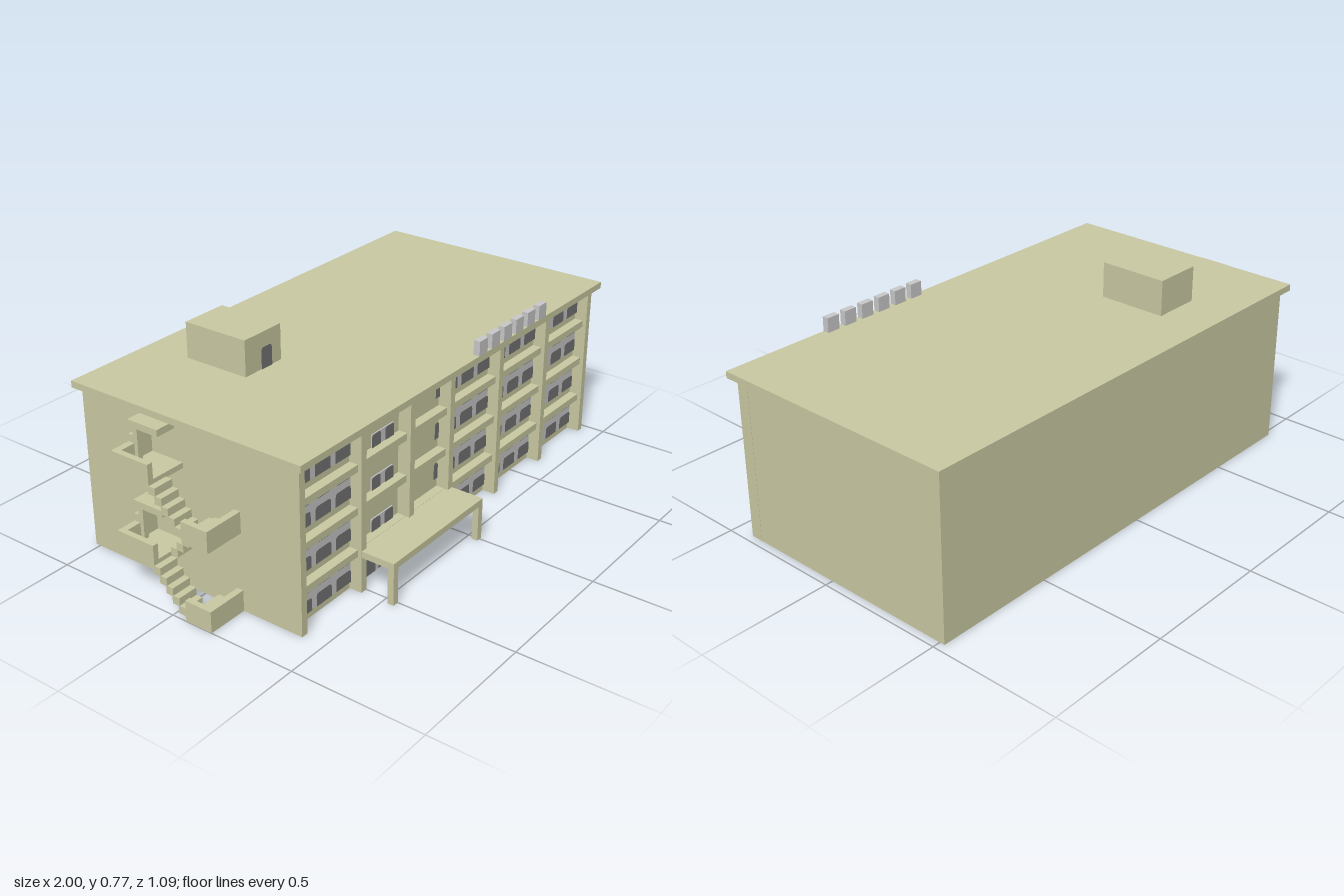
import * as THREE from 'three';

const mat = (name, color) => {
  const m = new THREE.MeshStandardMaterial({ color });
  m.name = name;
  return m;
};

const FACADE = 0.365; // z of the recessed wall
const FRONT = 0.415; // z of the column faces

export function createModel() {
  const olive = mat('olive plaster', 0xcacaa3);
  const grey = mat('light grey', 0xc9c9c9);
  const dark = mat('dark glass', 0x737373);
  const model = new THREE.Group();
  model.name = 'building';

  const group = (name) => {
    const g = new THREE.Group();
    g.name = name;
    model.add(g);
    return g;
  };

  // Box given by its lower and upper limits on each axis
  const box = (parent, name, material, x0, x1, y0, y1, z0, z1) => {
    const mesh = new THREE.Mesh(new THREE.BoxGeometry(x1 - x0, y1 - y0, z1 - z0), material);
    mesh.position.set((x0 + x1) / 2, (y0 + y1) / 2, (z0 + z1) / 2);
    mesh.name = name;
    parent.add(mesh);
  };

  // Flat pane with two rounded corners, at the top or at the bottom
  const pane = (parent, name, x0, x1, y0, y1, z, roundTop = true) => {
    const r = 0.014;
    const [square, round] = roundTop ? [y0, y1] : [y1, y0];
    const inner = round + (roundTop ? -r : r);
    const s = new THREE.Shape();
    s.moveTo(x0, square);
    s.lineTo(x1, square);
    s.lineTo(x1, inner);
    s.quadraticCurveTo(x1, round, x1 - r, round);
    s.lineTo(x0 + r, round);
    s.quadraticCurveTo(x0, round, x0, inner);
    const mesh = new THREE.Mesh(new THREE.ShapeGeometry(s, 4), dark);
    mesh.position.z = z;
    mesh.name = name;
    parent.add(mesh);
  };

  // Main block and roof
  box(model, 'mainBlock', olive, -0.842, 0.97, 0, 0.615, -0.52, FACADE);
  box(model, 'roofSlab', olive, -0.865, 0.995, 0.615, 0.64, -0.545, 0.44);
  box(model, 'roofHouse', olive, -0.495, -0.31, 0.64, 0.775, -0.36, -0.095);
  pane(model, 'roofDoor', -0.415, -0.36, 0.64, 0.72, -0.092);

  const units = group('roofUnits');
  for (let i = 0; i < 6; i++) {
    const x = 0.12 + i * 0.08;
    box(units, 'roofUnit', grey, x, x + 0.052, 0.64, 0.695, FRONT, 0.44);
  }

  // Columns, the third one standing on the canopy
  const columns = [-0.842, -0.527, -0.254, -0.015, 0.302, 0.623, 0.944];
  const columnGroup = group('columns');
  columns.forEach((x, i) =>
    box(columnGroup, 'column', olive, x, x + 0.027, i === 2 ? 0.137 : 0, 0.615, FACADE, FRONT));

  // Floor ledges between the columns
  const floors = [0, 0.163, 0.324, 0.484];
  const ledges = group('ledges');
  for (let i = 0; i < 6; i++) {
    for (const y of floors.slice(1)) {
      box(ledges, 'ledge', olive, columns[i] + 0.027, columns[i + 1], y - 0.027, y, FACADE, 0.4);
    }
  }

  // Window bands: grey panel, short upper panes and taller lower panes
  const windows = group('windows');
  for (const bay of [0, 3, 4, 5]) {
    const x0 = columns[bay] + 0.027;
    const x1 = columns[bay + 1];
    for (const floor of floors) {
      const y0 = floor + 0.027;
      const y1 = Math.min(floor + 0.134, 0.615);
      box(windows, 'windowPanel', grey, x0, x1, y0, y1, FACADE, FACADE + 0.004);
      for (let k = 0; k < 3; k++) {
        const a = x0 + k * (x1 - x0 - 0.08) / 2;
        pane(windows, 'lowerPane', a, a + 0.08, y0, y0 + 0.05, FACADE + 0.006);
        pane(windows, 'upperPane', a, a + 0.08, y1 - 0.03, y1, FACADE + 0.006, false);
      }
    }
  }

  // Small windows of the two plain bays
  for (const y of floors.slice(1)) {
    box(windows, 'smallPanel', grey, -0.41, -0.29, y, y + 0.048, FACADE, FACADE + 0.004);
    pane(windows, 'smallPane', -0.412, -0.362, y, y + 0.048, FACADE + 0.006);
    pane(windows, 'smallPane', -0.338, -0.288, y, y + 0.048, FACADE + 0.006);
    pane(windows, 'sidePane', -0.227, -0.203, y + 0.034, y + 0.098, FACADE + 0.004);
    pane(windows, 'sidePane', -0.04, -0.015, y + 0.034, y + 0.098, FACADE + 0.004);
  }

  // Ground floor entrance
  const entrance = group('entrance');
  box(entrance, 'entrancePanel', grey, -0.5, -0.015, 0, 0.136, FACADE, FACADE + 0.004);
  for (let k = 0; k < 4; k++) {
    const x = -0.495 + k * 0.1247;
    pane(entrance, 'door', x, x + 0.106, 0, 0.086, FACADE + 0.006);
    pane(entrance, 'doorLight', x, x + 0.106, 0.104, 0.136, FACADE + 0.006, false);
  }

  // Canopy on two legs
  const canopy = group('canopy');
  box(canopy, 'canopySlab', olive, -0.525, 0.01, 0.137, 0.162, FACADE, 0.545);
  for (const x of [-0.525, -0.015]) {
    box(canopy, 'canopyLeg', olive, x, x + 0.025, 0, 0.137, 0.521, 0.545);
  }

  // Outside stairs on the right end: landings, flights and door canopies
  const stairs = group('outsideStairs');
  const outer = -1;
  const middle = -0.92;
  const wall = -0.842;

  const landing = (y, z0, z1, endZ) => {
    box(stairs, 'landingSlab', olive, outer, wall, y, y + 0.02, z0, z1);
    box(stairs, 'sideParapet', olive, outer, outer + 0.022, y + 0.02, y + 0.08, z0, z1);
    box(stairs, 'endParapet', olive, outer + 0.022, wall, y + 0.02, y + 0.08, endZ, endZ + 0.025);
  };

  // Flight of thin steps climbing from zStart in the given direction
  const flight = (x0, x1, y, zStart, direction) => {
    for (let i = 0; i < 5; i++) {
      const z = zStart + direction * i * 0.026;
      const yi = y + i * 0.028;
      const ends = [z, z + direction * 0.03].sort((a, b) => a - b);
      box(stairs, 'step', olive, x0, x1, yi, yi + 0.03, ends[0], ends[1]);
    }
  };

  for (const base of [0, 0.297]) {
    landing(base, 0.06, 0.17, 0.145);
    landing(base + 0.158, -0.23, -0.07, -0.23);
    flight(outer, middle, base + 0.02, 0.06, -1);
    // Raised back parapet with a post under the door canopy
    box(stairs, 'doorScreen', olive, middle, wall, base + 0.238, base + 0.266, -0.23, -0.205);
    box(stairs, 'canopyPost', olive, middle, middle + 0.02, base + 0.178, base + 0.293, -0.21, -0.19);
    box(stairs, 'doorCanopy', olive, middle, wall, base + 0.293, base + 0.318, -0.23, -0.1);
  }
  flight(middle, wall, 0.165, -0.07, 1);

  return model;
}
